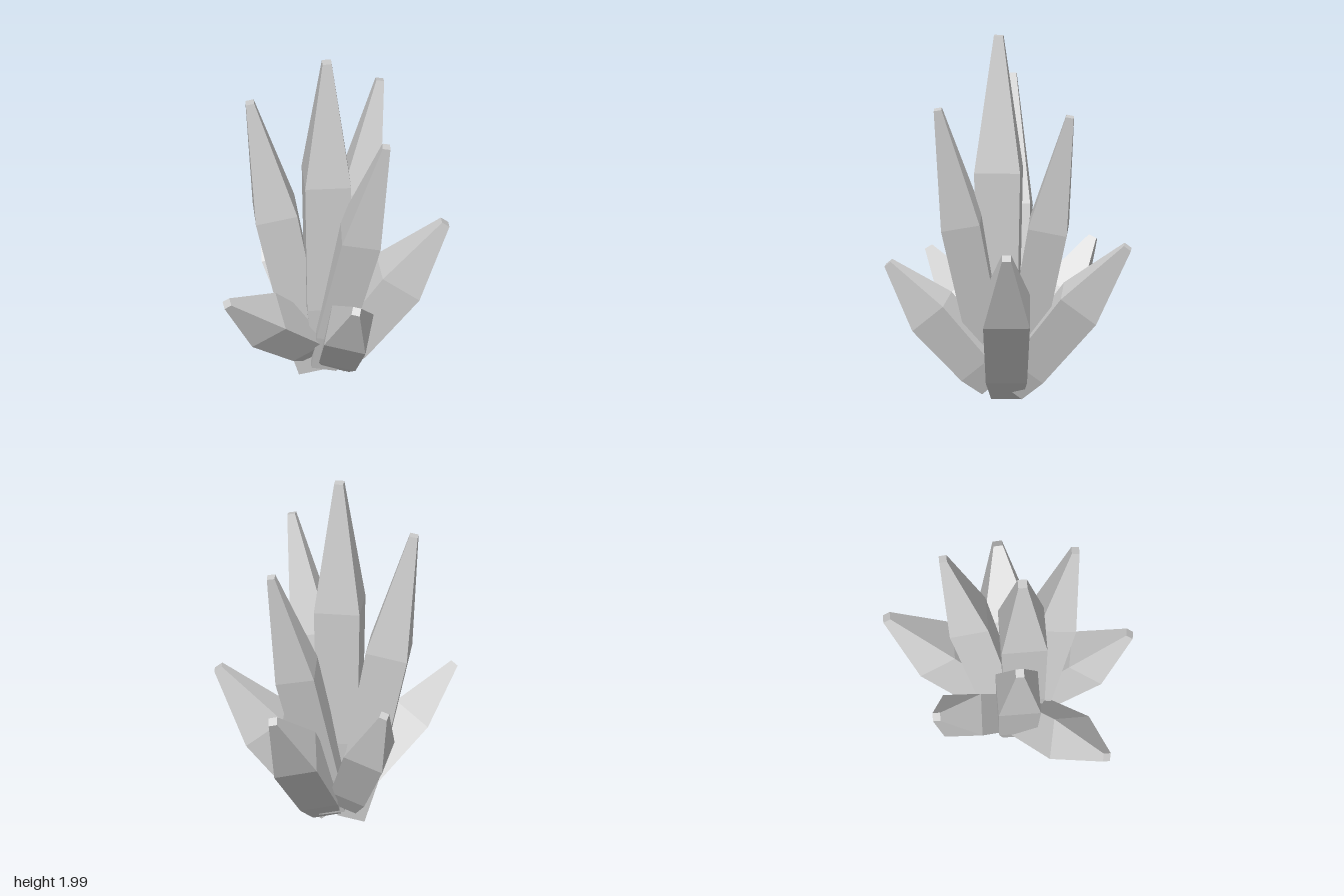
import * as THREE from 'three';

const material = new THREE.MeshStandardMaterial({ color: 0xcccccc, flatShading: true });

// Four-sided shard: [share of length, share of half width]
const PROFILE = [[0, 0], [0, 0.65], [0.15, 0.88], [0.59, 1], [1, 0.2], [1, 0]];

// Shard from base to tip; side is the direction of one edge of its square section
function makeShard(name, { base, tip, side, half }) {
  const start = new THREE.Vector3(...base);
  const axis = new THREE.Vector3(...tip).sub(start);
  const length = axis.length();
  axis.normalize();

  const points = PROFILE.map(([t, w]) => new THREE.Vector2(w * half * Math.SQRT2, t * length));
  const geometry = new THREE.LatheGeometry(points, 4, Math.PI / 4).toNonIndexed();
  geometry.computeVertexNormals();

  const x = new THREE.Vector3(...side);
  x.addScaledVector(axis, -x.dot(axis)).normalize();
  const z = new THREE.Vector3().crossVectors(x, axis);

  const mesh = new THREE.Mesh(geometry, material);
  mesh.name = name;
  mesh.quaternion.setFromRotationMatrix(new THREE.Matrix4().makeBasis(x, axis, z));
  mesh.position.copy(start);
  return mesh;
}

const SHARDS = {
  // Tall upright shards
  centreCrystal: { base: [-0.045, 0.2, 0.065], tip: [-0.04, 2, 0.063], side: [1, 0, 0], half: 0.125 },
  tallRightCrystal: { base: [-0.12, 0.025, 0.02], tip: [-0.455, 1.73, 0.015], side: [1, 0.2, 0], half: 0.115 },
  tallFrontLeftCrystal: { base: [-0.06, 0.085, 0.08], tip: [0.26, 1.64, 0.375], side: [1, -0.2, 0], half: 0.107 },
  tallBackLeftCrystal: { base: [-0.02, 0.09, -0.04], tip: [0.28, 1.61, -0.345], side: [1, -0.2, 0], half: 0.107 },
  // Short splayed shards
  shortLeftCrystal: { base: [-0.02, 0.07, 0.02], tip: [0.61, 0.88, -0.02], side: [0.055, 0.05, 0.245], half: 0.127 },
  shortFrontRightCrystal: { base: [-0.09, 0.16, 0.02], tip: [-0.615, 0.735, 0.475], side: [0.045, -0.12, 0.2], half: 0.113 },
  shortFrontCrystal: { base: [0.02, 0.11, 0.08], tip: [0.075, 0.765, 0.655], side: [0.2, -0.045, 0.03], half: 0.115 },
  shortBackRightCrystal: { base: [-0.1, 0.15, -0.06], tip: [-0.35, 0.85, -0.43], side: [0.22, 0.08, 0.01], half: 0.113 },
  shortBackCrystal: { base: [0.02, 0.09, -0.01], tip: [0.23, 0.89, -0.655], side: [0.04, 0.17, 0.15], half: 0.12 },
};

export function createModel() {
  const group = new THREE.Group();
  group.name = 'crystalCluster';
  for (const [name, spec] of Object.entries(SHARDS)) group.add(makeShard(name, spec));
  return group;
}
